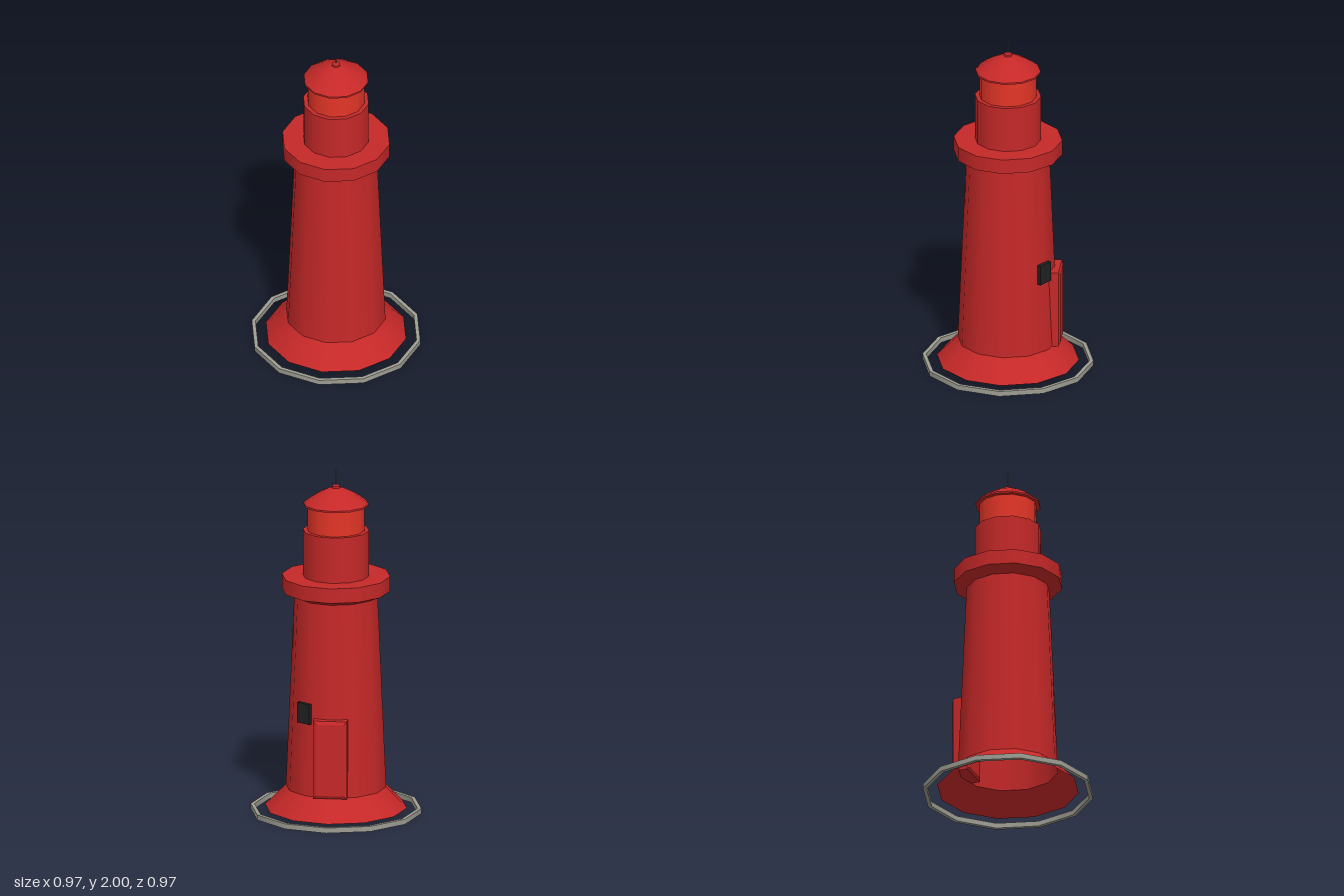
import * as THREE from 'three';
import { mergeGeometries } from 'three/addons/utils/BufferGeometryUtils.js';

const SIDES = 12;

function paint(name, color, side = THREE.FrontSide) {
  const m = new THREE.MeshStandardMaterial({ color, side });
  m.name = name;
  return m;
}

// Each run is one smooth strip; the edges between runs stay sharp
function turned(runs, sides = SIDES) {
  return mergeGeometries(runs.map(run =>
    new THREE.LatheGeometry(run.map(([r, y]) => new THREE.Vector2(r, y)), sides)));
}

// Splits a profile so that every segment is its own strip
function bands(profile) {
  return profile.slice(1).map((p, i) => [profile[i], p]);
}

export function createModel() {
  const group = new THREE.Group();
  const red = paint('red paint', 0xc62828, THREE.DoubleSide);
  const lampRed = paint('lantern red', 0xe53527, THREE.DoubleSide);
  const stone = paint('grey stone', 0x9e9e94);
  const dark = paint('dark glass', 0x212121);
  const metal = paint('grey metal', 0x616161);

  const add = (name, geometry, material) => {
    const mesh = new THREE.Mesh(geometry, material);
    mesh.name = name;
    group.add(mesh);
    return mesh;
  };

  // Kerb ring around the foot
  add('groundRing', turned(bands([
    [0.485, 0], [0.485, 0.03], [0.463, 0.03], [0.463, 0], [0.485, 0],
  ])), stone);

  // Flared foot and tapering shaft, open underneath
  add('skirt', turned([[[0.403, 0.03], [0.285, 0.15]]]), red);
  add('tower', turned([[[0.285, 0.15], [0.237, 1.265]]]), red);

  // Gallery with sloping underside
  add('gallery', turned(bands([
    [0.237, 1.265], [0.308, 1.295], [0.308, 1.38], [0.18, 1.38],
  ])), red);

  // Watch room and the lantern above it
  add('watchRoom', turned(bands([[0.188, 1.38], [0.188, 1.645], [0.16, 1.645]])), red);
  add('lantern', turned([[[0.163, 1.645], [0.163, 1.792]]]), lampRed);

  // Domed roof, finial and rod
  add('roof', turned([
    [[0, 1.79], [0.185, 1.79]],
    [[0.185, 1.79], [0.185, 1.8]],
    [[0.185, 1.8], [0.15, 1.828], [0.1, 1.86], [0.05, 1.884], [0, 1.896]],
  ]), red);
  add('finial', turned(bands([[0.023, 1.885], [0.023, 1.902], [0.014, 1.908], [0, 1.908]])), red);
  add('rod', new THREE.CylinderGeometry(0.003, 0.003, 0.1, 8).translate(0, 1.95, 0), metal);

  // Chamfered door on the back
  const outline = new THREE.Shape();
  outline.moveTo(-0.078, 0.168).lineTo(0.078, 0.168).lineTo(0.078, 0.584).lineTo(-0.078, 0.584).closePath();
  const door = new THREE.ExtrudeGeometry(outline, {
    depth: 0.085, bevelEnabled: true, bevelSegments: 1, bevelThickness: 0.01, bevelSize: 0.018,
  });
  add('door', door.translate(0, 0, 0.21).rotateY(Math.PI), red);

  // Small window beside the door
  const window = new THREE.BoxGeometry(0.09, 0.117, 0.022).translate(0, 0.626, 0.269);
  add('window', window.rotateY(THREE.MathUtils.degToRad(145)), dark);

  return group;
}
